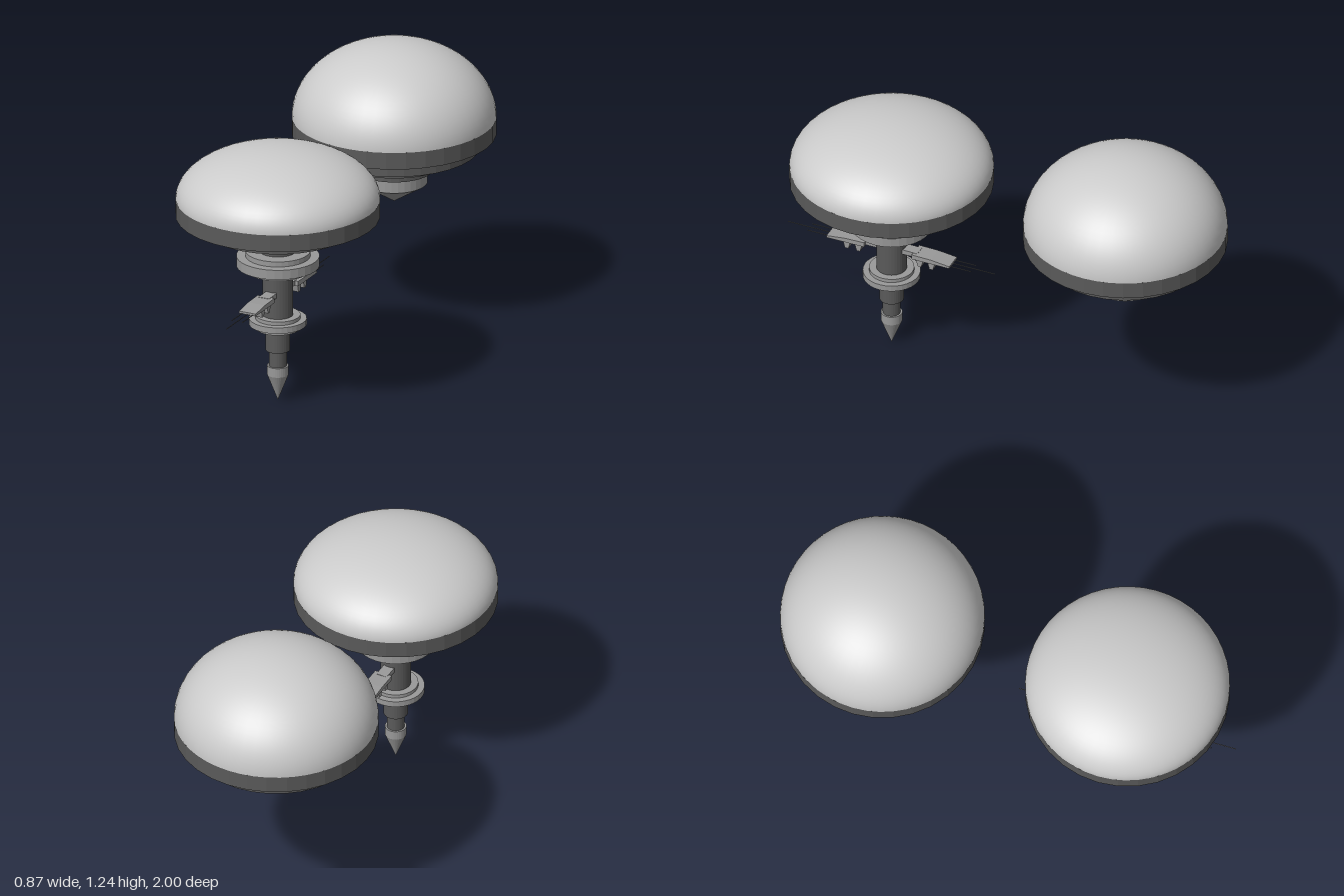
import * as THREE from 'three';

const light = new THREE.MeshStandardMaterial({ color: 0xcccccc });
const ringMat = new THREE.MeshStandardMaterial({ color: 0x999999, flatShading: true });
const dark = new THREE.MeshStandardMaterial({ color: 0x5a5a5a, flatShading: true });
const SIDES = 32;

function add(parent, name, geometry, material) {
  const mesh = new THREE.Mesh(geometry, material);
  mesh.name = name;
  parent.add(mesh);
  return mesh;
}

// Upright drum between two heights; the bottom radius may differ
function drum(parent, name, r, y0, y1, material, rBottom = r) {
  const g = new THREE.CylinderGeometry(r, rBottom, y1 - y0, SIDES);
  add(parent, name, g, material).position.y = (y0 + y1) / 2;
}

// Smooth half ellipsoid on the rim
function dome(parent, r, y, height) {
  const g = new THREE.SphereGeometry(r, 48, 20, 0, Math.PI * 2, 0, Math.PI / 2);
  g.scale(1, height / r, 1);
  add(parent, 'dome', g, light).position.y = y;
}

// Side profile (distance from axis, height) extruded across x
function slab(parent, name, points, width, x = 0) {
  const shape = new THREE.Shape(points.map(([d, y]) => new THREE.Vector2(-d, y)));
  const g = new THREE.ExtrudeGeometry(shape, { depth: width, bevelEnabled: false });
  g.translate(0, 0, -width / 2);
  g.rotateY(Math.PI / 2);
  add(parent, name, g, ringMat).position.x = x;
}

// Arm reaching out along +z with hanging teeth and antennae
function antennaArm() {
  const arm = new THREE.Group();
  arm.name = 'antennaArm';
  slab(arm, 'armRoot', [[0.05, 0.485], [0.05, 0.508], [0.13, 0.506], [0.13, 0.485]], 0.05);
  slab(arm, 'armPlate', [[0.11, 0.483], [0.11, 0.505], [0.2, 0.503], [0.285, 0.493], [0.285, 0.483]], 0.08);
  for (const d of [0.142, 0.196]) {
    slab(arm, 'tooth', [[d - 0.018, 0.485], [d + 0.018, 0.485], [d + 0.008, 0.447], [d - 0.008, 0.447]], 0.06);
  }
  for (const [x, end] of [[0, 0.48], [-0.025, 0.38], [0.025, 0.38]]) {
    const g = new THREE.CylinderGeometry(0.002, 0.002, end - 0.25, 6);
    g.rotateX(Math.PI / 2);
    add(arm, 'antenna', g, dark).position.set(x, 0.485, (0.25 + end) / 2);
  }
  return arm;
}

export function createModel() {
  const model = new THREE.Group();

  // Front station: flat dome, stepped underside, long mast
  const tall = new THREE.Group();
  tall.name = 'mastStation';
  tall.position.z = 0.52;
  model.add(tall);
  dome(tall, 0.435, 0.914, 0.219);
  for (const [name, r, y0, y1, mat] of [
    ['rim', 0.435, 0.838, 0.914, dark],
    ['upperTier', 0.325, 0.785, 0.838, dark],
    ['lowerTier', 0.205, 0.758, 0.785, dark],
    ['neck', 0.08, 0.678, 0.758, dark],
    ['upperCollarTop', 0.138, 0.655, 0.678, ringMat],
    ['upperCollar', 0.177, 0.612, 0.655, ringMat],
    ['upperCollarBase', 0.136, 0.59, 0.612, ringMat],
    ['mast', 0.065, 0.388, 0.59, dark],
    ['lowerCollarTop', 0.096, 0.372, 0.388, ringMat],
    ['lowerCollar', 0.123, 0.345, 0.372, ringMat],
    ['lowerCollarBase', 0.096, 0.327, 0.345, ringMat],
    ['lowerMast', 0.052, 0.227, 0.327, dark],
    ['thinMast', 0.038, 0.156, 0.227, dark],
    ['tipCollar', 0.046, 0.115, 0.156, ringMat],
  ]) drum(tall, name, r, y0, y1, mat);
  drum(tall, 'tip', 0.046, 0, 0.115, ringMat, 0.001);

  // Opposed arms
  const frontArm = antennaArm();
  const backArm = antennaArm();
  backArm.rotation.y = Math.PI;
  tall.add(frontArm, backArm);

  // Rear station: high dome, four steps and a short cone
  const short = new THREE.Group();
  short.name = 'coneStation';
  short.position.z = -0.565;
  model.add(short);
  dome(short, 0.435, 0.914, 0.329);
  for (const [name, r, y0, y1, mat] of [
    ['rim', 0.435, 0.838, 0.914, dark],
    ['upperTier', 0.365, 0.777, 0.838, dark],
    ['middleTier', 0.248, 0.725, 0.777, dark],
    ['lowerTier', 0.17, 0.677, 0.725, dark],
    ['collar', 0.143, 0.617, 0.677, ringMat],
  ]) drum(short, name, r, y0, y1, mat);
  drum(short, 'cone', 0.143, 0.528, 0.617, ringMat, 0.001);

  return model;
}
